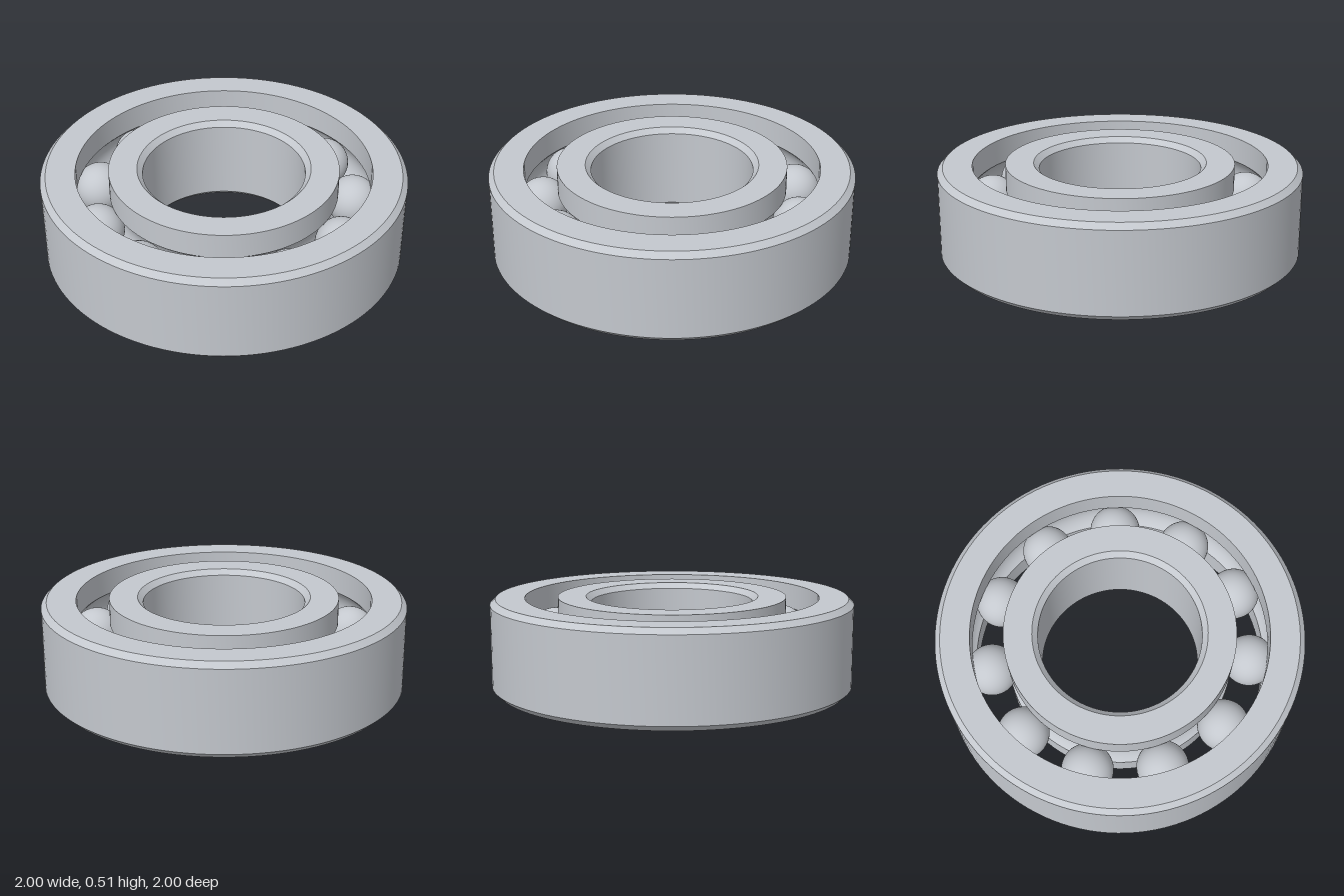
import * as THREE from 'three';
import { toCreasedNormals } from 'three/addons/utils/BufferGeometryUtils.js';

const HEIGHT = 0.51, MID = HEIGHT / 2, CHAMFER = 0.03;
const PITCH = 0.72;          // radius of the ball circle
const BALL = 0.142, GROOVE = 0.144;
const BALL_COUNT = 11;

// Groove cross-section: an arc about the ball centre, cut off at the race radius
function groove(raceRadius, fromTop) {
  const half = Math.acos(Math.abs(raceRadius - PITCH) / GROOVE);
  const side = Math.sign(raceRadius - PITCH);
  const steps = 14, points = [];
  for (let i = 0; i <= steps; i++) {
    const a = half * (2 * i / steps - 1) * (fromTop ? -1 : 1);
    points.push([PITCH + side * GROOVE * Math.cos(a), MID + GROOVE * Math.sin(a)]);
  }
  return points;
}

// Closed counter-clockwise (radius, y) outline spun about the axis
function ring(name, outline, material) {
  const points = [...outline, outline[0]].map(([r, y]) => new THREE.Vector2(r, y));
  const geometry = toCreasedNormals(new THREE.LatheGeometry(points, 120), 0.5);
  const mesh = new THREE.Mesh(geometry, material);
  mesh.name = name;
  return mesh;
}

export function createModel() {
  const model = new THREE.Group();
  model.name = 'ballBearing';
  const steel = new THREE.MeshStandardMaterial({ color: 0xc4c8ce });
  steel.name = 'steel';

  // Outer ring: chamfered outside, ball groove inside
  model.add(ring('outerRing', [
    [0.81, 0], [1 - CHAMFER, 0], [1, CHAMFER],
    [1, HEIGHT - CHAMFER], [1 - CHAMFER, HEIGHT], [0.81, HEIGHT],
    ...groove(0.81, true),
  ], steel));

  // Inner ring: chamfered bore, ball groove outside
  model.add(ring('innerRing', [
    [0.445 + CHAMFER, 0], [0.63, 0],
    ...groove(0.63, false),
    [0.63, HEIGHT], [0.445 + CHAMFER, HEIGHT],
    [0.445, HEIGHT - CHAMFER], [0.445, CHAMFER],
  ], steel));

  // Balls, evenly spaced with the first on +x
  const balls = new THREE.Group();
  balls.name = 'balls';
  const ballGeometry = new THREE.SphereGeometry(BALL, 40, 24);
  for (let i = 0; i < BALL_COUNT; i++) {
    const a = i * 2 * Math.PI / BALL_COUNT;
    const ball = new THREE.Mesh(ballGeometry, steel);
    ball.name = 'ball' + (i + 1);
    ball.position.set(PITCH * Math.cos(a), MID, PITCH * Math.sin(a));
    balls.add(ball);
  }
  model.add(balls);
  return model;
}
